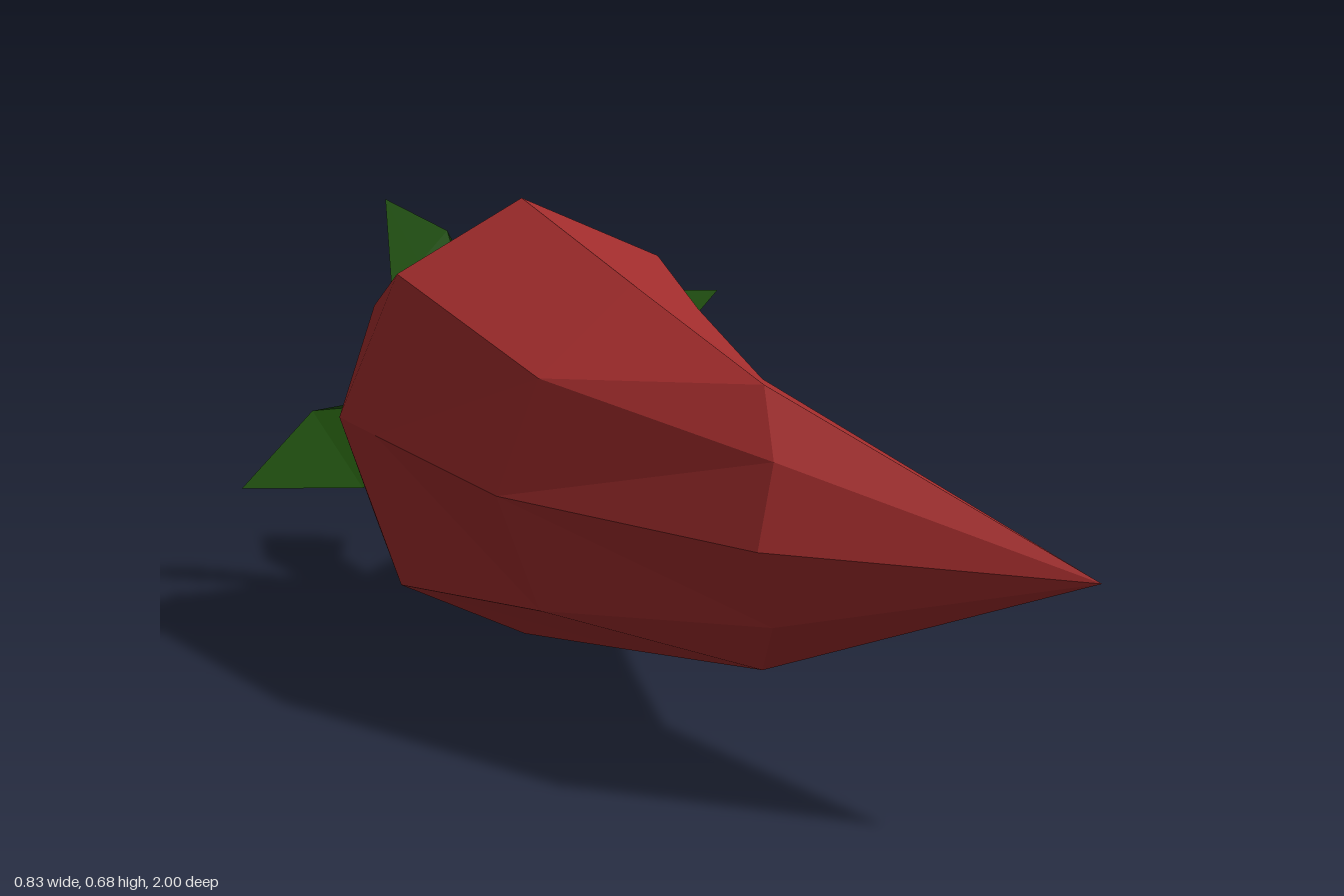
import * as THREE from 'three';

const MID = 0.34; // height of the body's mirror plane

function flatMesh(name, tris, material) {
  const g = new THREE.BufferGeometry();
  g.setAttribute('position', new THREE.Float32BufferAttribute(tris.flat(2), 3));
  g.computeVertexNormals();
  const m = new THREE.Mesh(g, material);
  m.name = name;
  return m;
}

// Joins rings of equal length, ordered from back to front
function loft(rings) {
  const tris = [];
  const n = rings[0].length;
  for (let i = 0; i < rings.length - 1; i++) {
    for (let j = 0; j < n; j++) {
      const k = (j + 1) % n;
      const a = rings[i][j], b = rings[i][k], c = rings[i + 1][k], d = rings[i + 1][j];
      if (j < n / 2) tris.push([a, b, d], [b, c, d]);
      else tris.push([a, b, c], [a, c, d]);
    }
  }
  return tris;
}

// Upper half ring (five points: +x side over the top to -x side) mirrored below
function mirrorRing(half) {
  const up = half.map(([x, h, z]) => [x, MID + h, z]);
  const down = half.slice(1, 4).reverse().map(([x, h, z]) => [x, MID - h, z]);
  return [...up, ...down];
}

function ovalRing(cx, cy, cz, rx, ry, tilt, n = 6) {
  return Array.from({ length: n }, (_, i) => {
    const a = (i / n) * Math.PI * 2 + Math.PI / n;
    return [cx + Math.cos(a) * rx, cy + Math.sin(a) * ry, cz + Math.cos(a) * tilt];
  });
}

const fill = (p) => Array(5).fill(p);

export function createModel() {
  const red = new THREE.MeshStandardMaterial({ color: 0xa02c2c, flatShading: true });
  red.name = 'pepper red';
  const green = new THREE.MeshStandardMaterial({ color: 0x22580e, flatShading: true, side: THREE.DoubleSide });
  green.name = 'stalk green';
  const dark = new THREE.MeshStandardMaterial({ color: 0x1f2d28, flatShading: true });
  dark.name = 'cut stem dark';

  const model = new THREE.Group();
  model.name = 'chiliPepper';

  // Body: octagonal rings that bend round to a point
  const body = [
    fill([-0.01, 0, -0.575]),
    [[0.07, 0, -0.572], [0.05, 0.055, -0.574], [-0.01, 0.08, -0.575], [-0.07, 0.055, -0.575], [-0.09, 0, -0.575]],
    [[0.25, 0, -0.52], [0.2, 0.17, -0.51], [-0.03, 0.24, -0.5], [-0.25, 0.17, -0.5], [-0.31, 0, -0.5]],
    [[0.3, 0, -0.5], [0.195, 0.232, -0.42], [-0.058, 0.34, -0.37], [-0.27, 0.238, -0.35], [-0.317, 0, -0.33]],
    [[0.132, 0, -0.16], [0.075, 0.205, -0.03], [-0.083, 0.265, 0.08], [-0.28, 0.162, 0.2], [-0.335, 0, 0.18]],
    [[0.04, 0, 0.23], [-0.01, 0.163, 0.34], [-0.105, 0.19, 0.53], [-0.142, 0.108, 0.63], [-0.18, 0, 0.66]],
    fill([0.115, 0, 1]),
  ].map(mirrorRing);
  model.add(flatMesh('body', loft(body), red));

  // Stem: bent six-sided stalk with a dark cut end
  const end = ovalRing(0.055, 0.343, -0.975, 0.052, 0.062, 0.028);
  const stem = [
    end,
    ovalRing(-0.003, 0.343, -0.82, 0.054, 0.052, 0.01),
    ovalRing(-0.005, 0.343, -0.56, 0.05, 0.05, 0),
  ];
  model.add(flatMesh('stem', loft(stem), green));
  const cap = end.map((p, i) => [[0.055, 0.343, -0.975], end[(i + 1) % 6], p]);
  model.add(flatMesh('stemCutEnd', cap, dark));

  // Calyx: four leaves, each a ridged blade with a flat pointed tip
  const leaves = [
    [0.416, 0.475, 0.27, 0.075],
    [-0.17, 0.655, 0.24, 0.065],
    [-0.418, 0.21, 0.27, 0.075],
    [0.165, 0.03, 0.24, 0.065],
  ];
  const calyx = new THREE.Group();
  calyx.name = 'calyx';
  for (const [tx, ty, along, half] of leaves) {
    const len = Math.hypot(tx, ty - MID);
    const dx = tx / len, dy = (ty - MID) / len;
    const at = (u, v, z) => [u * dx - v * dy, MID + u * dy + v * dx, z];
    const rootL = at(0.02, 0.04, -0.565), rootR = at(0.02, -0.04, -0.565), rib = at(0.02, 0, -0.62);
    const wideL = at(along - 0.02, half, -0.652), wideR = at(along + 0.02, -half, -0.652);
    const mid = at(along, 0, -0.652), tip = [tx, ty, -0.654];
    calyx.add(flatMesh('leaf', [
      [rib, rootL, wideL], [rib, wideL, mid],
      [rib, wideR, rootR], [rib, mid, wideR],
      [mid, wideL, tip], [mid, tip, wideR],
    ], green));
  }
  model.add(calyx);
  return model;
}
